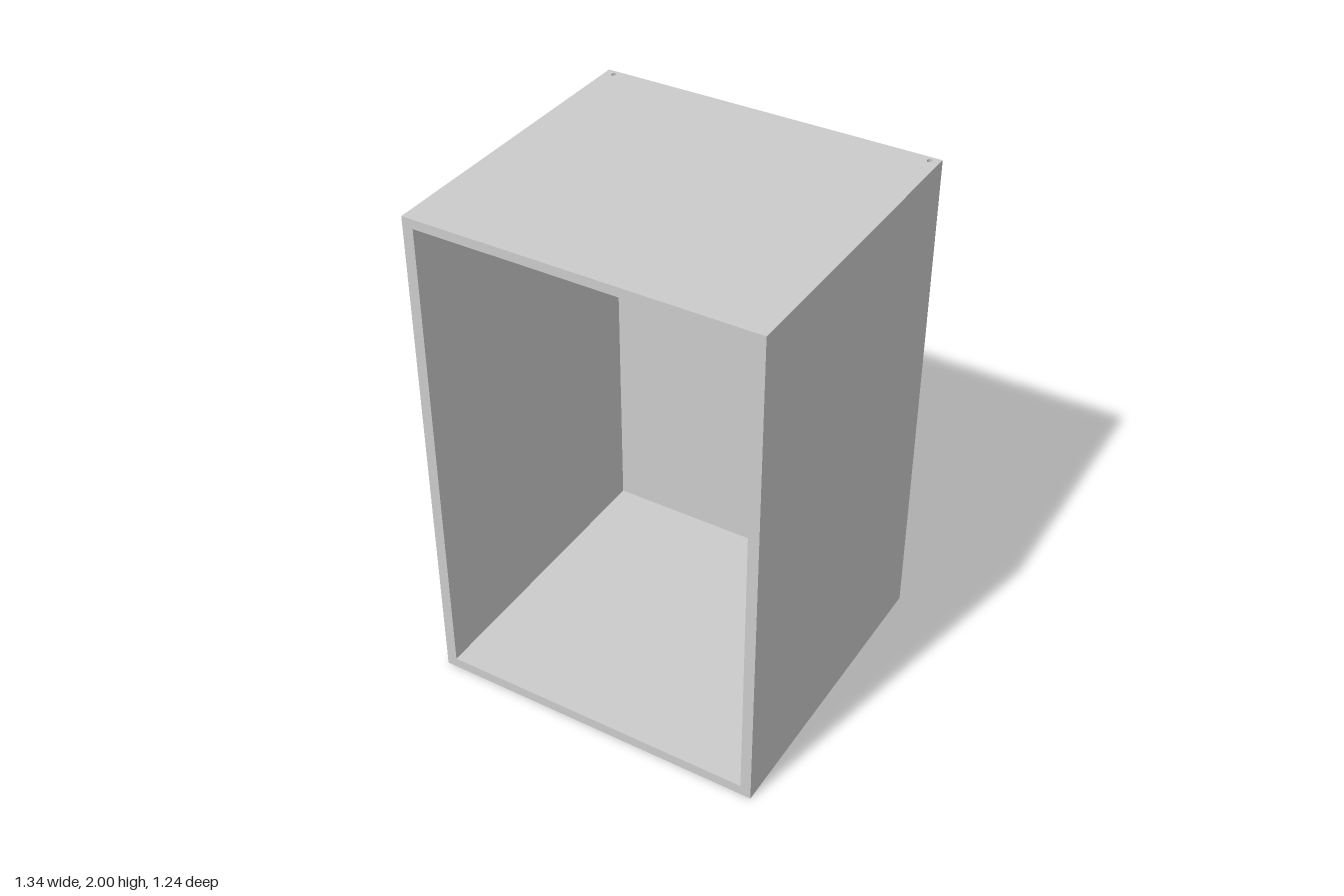
import * as THREE from 'three';

const W = 1.344, H = 2, D = 1.24;          // outer size
const SIDE = 0.042, BASE = 0.042, TOP = 0.036;
const BACK_T = 0.012, RECESS = 0.024;      // back panel thickness and inset

export function createModel() {
  const group = new THREE.Group();
  group.name = 'cabinet';
  const material = new THREE.MeshStandardMaterial({ color: 0xcccccc, flatShading: true });

  const add = (name, geometry, x, y, z) => {
    const mesh = new THREE.Mesh(geometry, material);
    mesh.name = name;
    mesh.position.set(x, y, z);
    group.add(mesh);
    return mesh;
  };

  const innerH = H - BASE - TOP;
  const midY = BASE + innerH / 2;

  // Carcass: base and two sides
  add('bottomPanel', new THREE.BoxGeometry(W, BASE, D), 0, BASE / 2, 0);
  for (const [name, s] of [['leftPanel', 1], ['rightPanel', -1]]) {
    add(name, new THREE.BoxGeometry(SIDE, innerH, D), s * (W - SIDE) / 2, midY, 0);
  }

  // Thin back panel set in from the rear edge
  add('backPanel', new THREE.BoxGeometry(W - 2 * SIDE, innerH, BACK_T),
    0, midY, -D / 2 + RECESS + BACK_T / 2);

  // Top panel with two small oval fixing holes near the back corners
  const slab = new THREE.Shape([
    new THREE.Vector2(-W / 2, -D / 2), new THREE.Vector2(W / 2, -D / 2),
    new THREE.Vector2(W / 2, D / 2), new THREE.Vector2(-W / 2, D / 2),
  ]);
  for (const s of [-1, 1]) {
    const hole = new THREE.Path();
    hole.absellipse(s * 0.635, 0.595, 0.009, 0.012, 0, Math.PI * 2, true);
    slab.holes.push(hole);
  }
  const topGeometry = new THREE.ExtrudeGeometry(slab, { depth: TOP, bevelEnabled: false, curveSegments: 12 });
  topGeometry.rotateX(-Math.PI / 2);
  add('topPanel', topGeometry, 0, H - TOP, 0);

  return group;
}
